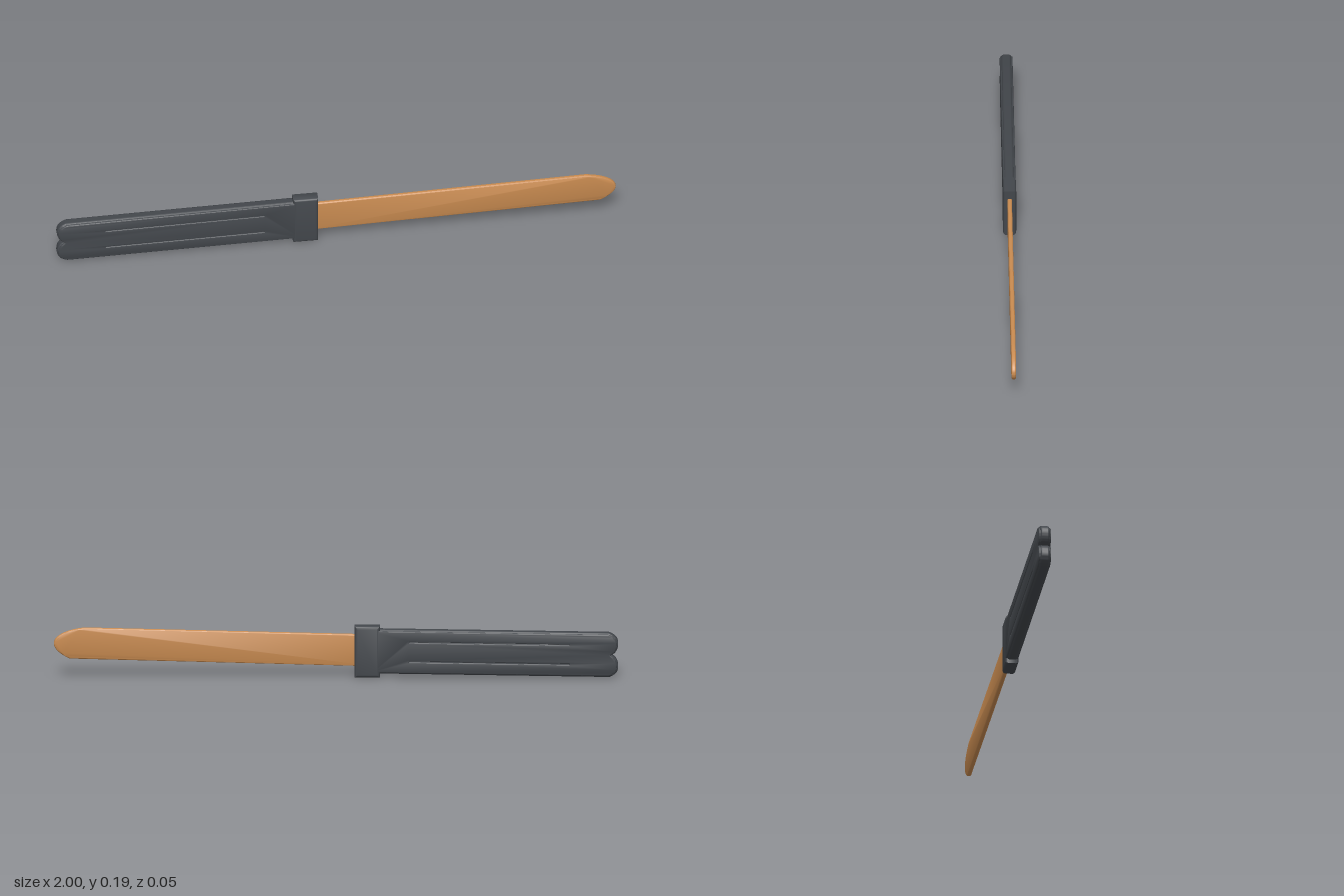
import * as THREE from 'three';
import { toCreasedNormals } from 'three/addons/utils/BufferGeometryUtils.js';

const grip = new THREE.MeshStandardMaterial({ color: 0x43474c });
grip.name = 'charcoal';
const bronze = new THREE.MeshStandardMaterial({ color: 0xc98b50 });
bronze.name = 'bronze';

// Flat outline in xy, extruded symmetrically in z with edges rounded inward.
function slab(name, shape, halfDepth, bevel, material) {
  const geo = new THREE.ExtrudeGeometry(shape, {
    depth: 2 * (halfDepth - bevel), bevelThickness: bevel, bevelSize: bevel,
    bevelOffset: -bevel, bevelSegments: 4, curveSegments: 10,
  });
  geo.translate(0, 0, bevel - halfDepth);
  const mesh = new THREE.Mesh(toCreasedNormals(geo, 0.6), material);
  mesh.name = name;
  return mesh;
}

// The handle's centre line climbs slightly towards the blade.
const centreY = (x) => 0.081 + 0.0155 * (x + 0.97);

// Handle outline with two rounded lobes at the butt, shrunk by an inset.
function handleOutline(inset) {
  const s = new THREE.Shape();
  const h = 0.08 - inset, left = -1 + inset, right = -0.13;
  const p = (x, v) => [x, centreY(x) + v];
  s.moveTo(...p(right, -h));
  s.lineTo(...p(right, h));
  s.lineTo(...p(-0.968 + inset * 0.6, h));
  s.quadraticCurveTo(...p(left, h - 0.012), ...p(left, 0.042));
  s.quadraticCurveTo(...p(left, 0.012), ...p(left + 0.023, 0));
  s.quadraticCurveTo(...p(left, -0.012), ...p(left, -0.042));
  s.quadraticCurveTo(...p(left, -h + 0.012), ...p(-0.968 + inset * 0.6, -h));
  s.closePath();
  return s;
}

// Narrow slot that follows the handle's slope.
function slot(v) {
  const a = -0.826, b = -0.26, w = 0.0012;
  const path = new THREE.Path();
  path.moveTo(a, centreY(a) + v - w);
  path.lineTo(b, centreY(b) + v - w);
  path.lineTo(b, centreY(b) + v + w);
  path.lineTo(a, centreY(a) + v + w);
  path.closePath();
  return path;
}

export function createModel() {
  const model = new THREE.Group();
  model.name = 'knife';

  // Handle: rounded core, with a slightly raised face layer that holds the grooves
  const handle = new THREE.Group();
  handle.name = 'handle';
  const faces = handleOutline(0.005);
  faces.holes.push(slot(0.036), slot(-0.034));
  handle.add(
    slab('handleCore', handleOutline(0), 0.018, 0.009, grip),
    slab('groovedFaces', faces, 0.0225, 0.004, grip),
  );

  // Collar between handle and blade
  const collarShape = new THREE.Shape([
    [-0.156, 0], [-0.066, 0], [-0.066, 0.186], [-0.156, 0.186],
  ].map(([x, y]) => new THREE.Vector2(x, y)));
  const collar = slab('collar', collarShape, 0.0235, 0.011, grip);

  // Blade: thin, gently rising, with a rounded tip
  const b = new THREE.Shape();
  b.moveTo(-0.1, 0.039);
  b.lineTo(0.945, 0.066);
  b.quadraticCurveTo(1.0, 0.094, 1.0, 0.121);
  b.bezierCurveTo(1.0, 0.148, 0.955, 0.172, 0.89, 0.178);
  b.lineTo(-0.1, 0.154);
  b.closePath();
  const blade = slab('blade', b, 0.008, 0.006, bronze);

  model.add(handle, collar, blade);
  return model;
}
